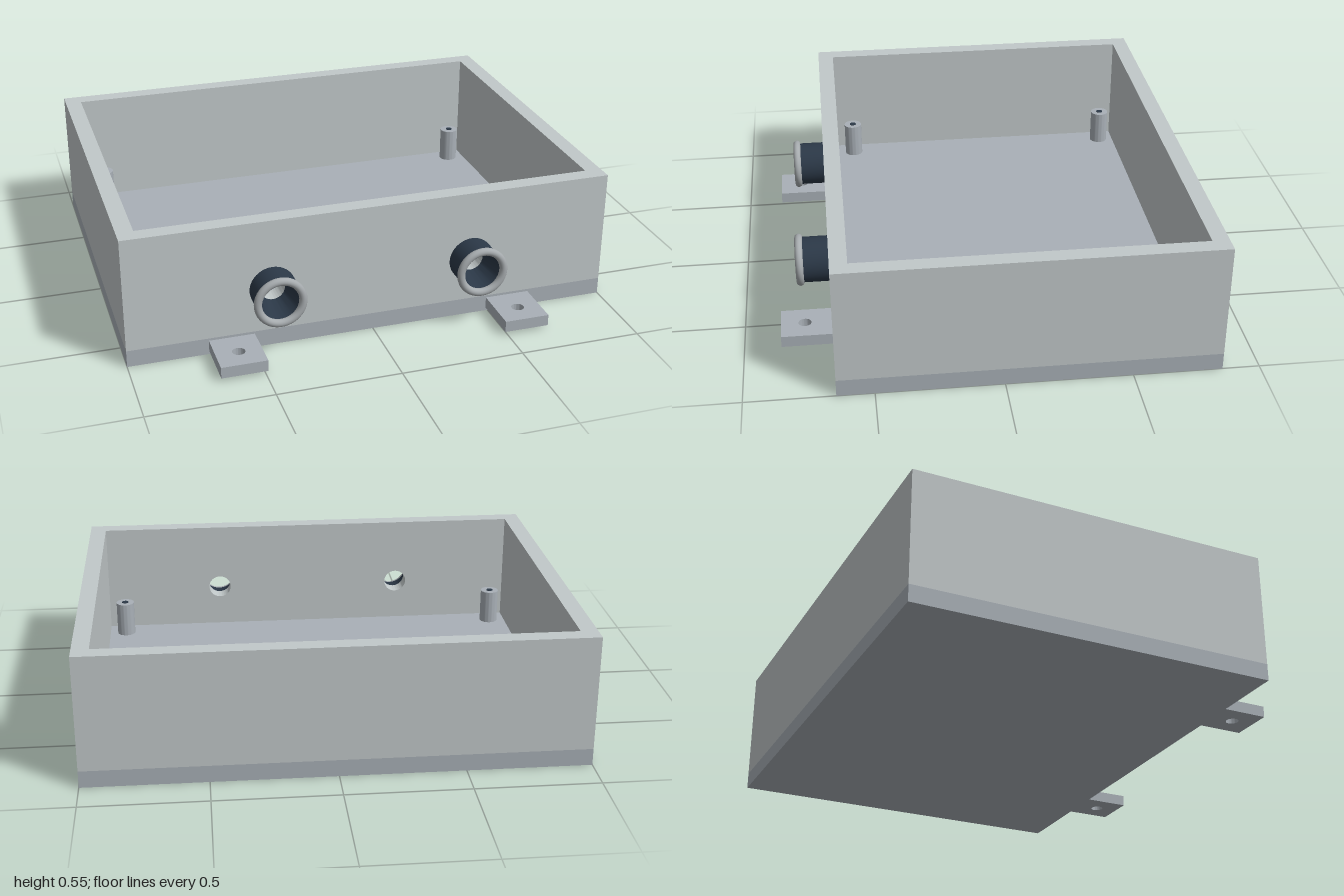
import * as THREE from 'three';
import { toCreasedNormals } from 'three/addons/utils/BufferGeometryUtils.js';

const material = (color) => new THREE.MeshStandardMaterial({ color });

// Closed circle path for holes
function circle(x, y, r) {
  const path = new THREE.Path();
  path.absarc(x, y, r, 0, Math.PI * 2, true);
  return path;
}

function polygon(points) {
  return new THREE.Shape(points.map(([x, y]) => new THREE.Vector2(x, y)));
}

function rectangle(x0, y0, x1, y1) {
  return polygon([[x0, y0], [x1, y0], [x1, y1], [x0, y1]]);
}

function extrude(shape, depth) {
  const geometry = new THREE.ExtrudeGeometry(shape, { depth, bevelEnabled: false, curveSegments: 32 });
  return toCreasedNormals(geometry, 0.6);
}

// Extrudes a plan drawn in (x, -z) upwards from y
function extrudeUp(shape, y, height) {
  return extrude(shape, height).rotateX(-Math.PI / 2).translate(0, y, 0);
}

// Lathe with crisp profile corners
function lathe(points) {
  const profile = points.map(([r, y]) => new THREE.Vector2(r, y));
  return toCreasedNormals(new THREE.LatheGeometry(profile, 48), 0.6);
}

export function createModel() {
  const model = new THREE.Group();
  const wallMat = material(0xc1c8c9);
  const baseMat = material(0xa9b0b7);
  const darkMat = material(0x2b3847);
  const ringMat = material(0xa6abae);

  const back = -0.853, front = 0.647, wall = 0.068;
  const floorTop = 0.07, top = 0.545;
  const portX = 0.415, portY = 0.253;

  function add(name, geometry, mat, parent = model) {
    const mesh = new THREE.Mesh(geometry, mat);
    mesh.name = name;
    parent.add(mesh);
    return mesh;
  }

  // Base plate
  const depth = front - back;
  add('basePlate', new THREE.BoxGeometry(2, floorTop, depth)
    .translate(0, floorTop / 2, (front + back) / 2), baseMat);

  // Back and side walls as one U-shaped plan
  const inner = 1 - wall, joint = front - wall;
  const plan = polygon([
    [-1, -joint], [-inner, -joint], [-inner, -back - wall], [inner, -back - wall],
    [inner, -joint], [1, -joint], [1, -back], [-1, -back],
  ]);
  add('backAndSideWalls', extrudeUp(plan, floorTop, top - floorTop), wallMat);

  // Front wall with two cable openings
  const face = rectangle(-1, floorTop, 1, top);
  for (const s of [-1, 1]) face.holes.push(circle(s * portX, portY, 0.05));
  add('frontWall', extrude(face, wall).translate(0, 0, joint), wallMat);

  for (const side of [-1, 1]) {
    const label = side > 0 ? 'left' : 'right';

    // Cable bushing: sleeve with a tapered bore and a rounded lip
    const bushing = new THREE.Group();
    bushing.name = label + 'CableBushing';
    bushing.position.set(side * portX, portY, front);
    const sleeve = lathe([[0.0925, 0], [0.0925, 0.12], [0.077, 0.12], [0.05, 0]]);
    add('bushingSleeve', sleeve.rotateX(Math.PI / 2), darkMat, bushing);
    const lip = new THREE.TorusGeometry(0.09, 0.016, 16, 48).translate(0, 0, 0.119);
    add('bushingLip', lip, ringMat, bushing);
    model.add(bushing);

    // Mounting tab with a screw hole
    const tab = rectangle(side * 0.583 - 0.0925, -0.853, side * 0.583 + 0.0925, -front);
    tab.holes.push(circle(side * 0.583, -0.757, 0.026));
    add(label + 'MountingTab', extrudeUp(tab, 0.013, 0.047), baseMat);

    // Corner standoffs with dark screw sockets
    for (const z of [-0.717, 0.5]) {
      const post = new THREE.Group();
      post.name = label + (z > 0 ? 'Front' : 'Back') + 'Standoff';
      post.position.set(side * 0.858, floorTop, z);
      add('standoffPost', lathe([[0.04, 0], [0.04, 0.15], [0.014, 0.15], [0.014, 0]]), baseMat, post);
      add('screwSocket', new THREE.CylinderGeometry(0.0145, 0.0145, 0.152, 24)
        .translate(0, 0.076, 0), darkMat, post);
      model.add(post);
    }
  }
  return model;
}
